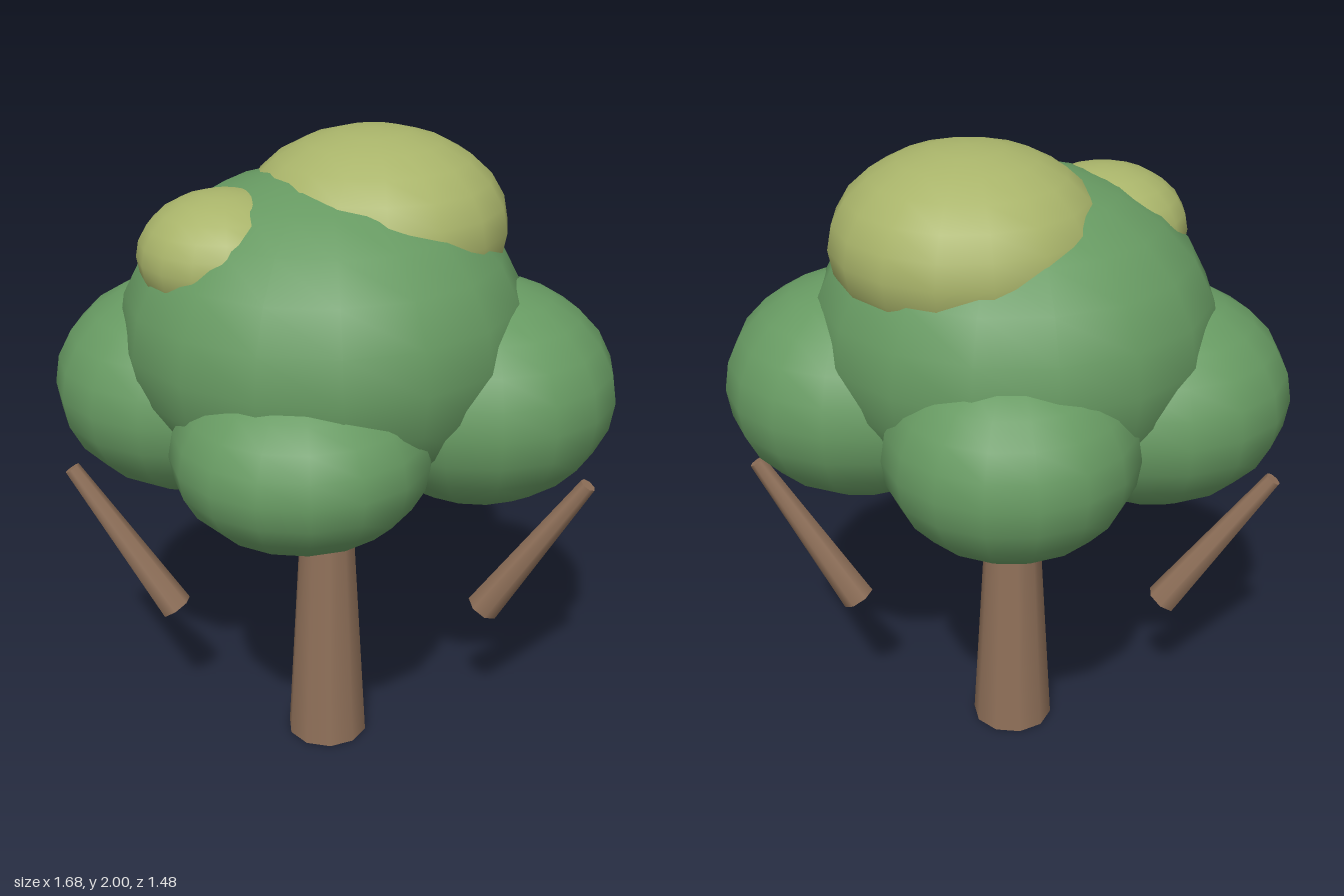
import * as THREE from 'three';

const V = (p) => new THREE.Vector3(...p);

export function createModel() {
  const tree = new THREE.Group();
  tree.name = 'tree';

  const bark = new THREE.MeshStandardMaterial({ name: 'bark brown', color: 0x8f7059 });
  const leaf = new THREE.MeshStandardMaterial({ name: 'leaf green', color: 0x679a62 });
  const sunlit = new THREE.MeshStandardMaterial({ name: 'sunlit leaf yellow', color: 0xa9b46a });

  const add = (name, geometry, material) => {
    const mesh = new THREE.Mesh(geometry, material);
    mesh.name = name;
    tree.add(mesh);
    return mesh;
  };

  // Tapered wooden limb running between two points
  const limb = (name, from, to, r0, r1, sides) => {
    const a = V(from), b = V(to), dir = b.clone().sub(a);
    const mesh = add(name, new THREE.CylinderGeometry(r1, r0, dir.length(), sides), bark);
    mesh.position.copy(a).add(b).multiplyScalar(0.5);
    mesh.quaternion.setFromUnitVectors(new THREE.Vector3(0, 1, 0), dir.normalize());
  };

  // Flattened ball of leaves
  const blob = (name, centre, r, ry, material) => {
    const geometry = new THREE.SphereGeometry(1, 16, 12);
    const mesh = add(name, geometry, material);
    mesh.scale.set(r, ry, r);
    mesh.position.copy(V(centre));
  };

  // Trunk and the two side branches
  limb('trunk', [-0.022, 0, 0.015], [-0.022, 1.04, 0.015], 0.13, 0.07, 10);
  limb('leftBranch', [0.475, 0.472, 0.085], [0.76, 0.95, 0.19], 0.054, 0.026, 7);
  limb('rightBranch', [-0.51, 0.435, -0.065], [-0.82, 0.905, -0.16], 0.054, 0.026, 7);

  // Crown with four lower clumps around it
  blob('crown', [-0.028, 1.42, 0.013], 0.605, 0.485, leaf);
  blob('leftClump', [0.425, 1.248, 0.1], 0.41, 0.337, leaf);
  blob('rightClump', [-0.425, 1.228, -0.1], 0.415, 0.33, leaf);
  blob('frontClump', [-0.122, 1.18, 0.36], 0.375, 0.272, leaf);
  blob('backClump', [0.06, 1.212, -0.37], 0.37, 0.308, leaf);

  // Sunlit clumps on top
  blob('largeSunlitClump', [0.12, 1.72, -0.05], 0.4, 0.28, sunlit);
  blob('smallSunlitClump', [-0.315, 1.685, 0.11], 0.252, 0.183, sunlit);

  return tree;
}
